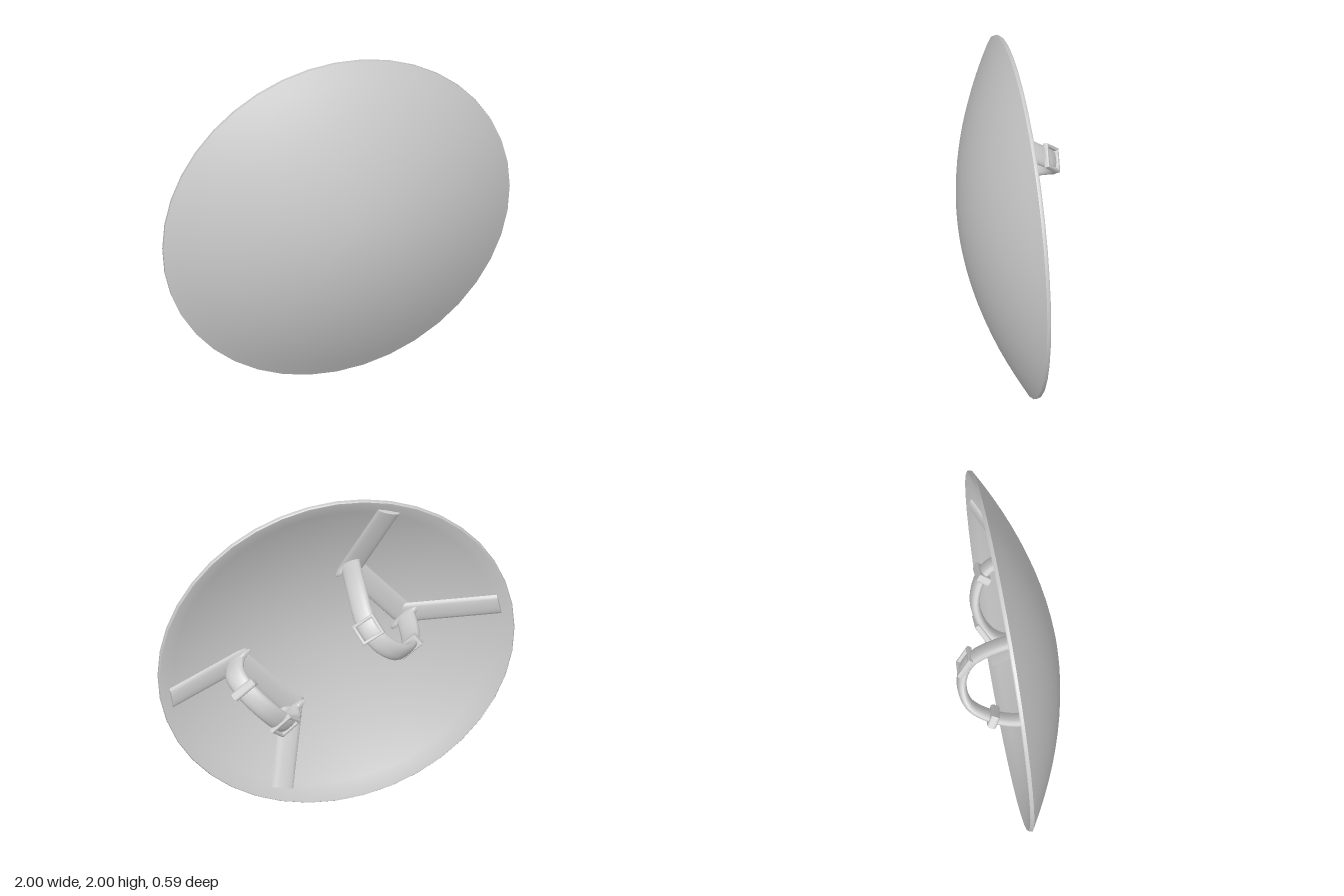
import * as THREE from 'three';
import { toCreasedNormals } from 'three/addons/utils/BufferGeometryUtils.js';

const material = new THREE.MeshStandardMaterial({ color: 0xcccccc });
const V = (x, y, z) => new THREE.Vector3(x, y, z);

function add(parent, name, geometry, crease = 0.8) {
  const mesh = new THREE.Mesh(toCreasedNormals(geometry, crease), material);
  mesh.name = name;
  parent.add(mesh);
  return mesh;
}

// Frame at t on a curve: W across the strap, N through it, T along it
function frameAt(curve, t, across) {
  const P = curve.getPoint(t), T = curve.getTangent(t);
  const W = across.clone().addScaledVector(T, -across.dot(T)).normalize();
  return { P, T, W, N: T.clone().cross(W) };
}

// Leather strip with a flattened oval section, swept along a curve
function ribbon(curve, across, width, thick, steps, sides = 14) {
  const pos = [], index = [];
  const soft = v => Math.sign(v) * Math.abs(v) ** 0.85;
  for (let i = 0; i <= steps; i++) {
    const { P, W, N } = frameAt(curve, i / steps, across);
    for (let j = 0; j < sides; j++) {
      const a = j / sides * Math.PI * 2;
      const p = P.clone().addScaledVector(W, width / 2 * soft(Math.cos(a)))
        .addScaledVector(N, thick / 2 * soft(Math.sin(a)));
      pos.push(p.x, p.y, p.z);
      if (i < steps) {
        const k = i * sides + j, l = i * sides + (j + 1) % sides;
        index.push(k, l, k + sides, l, l + sides, k + sides);
      }
    }
  }
  const last = steps * sides;
  for (let j = 1; j < sides - 1; j++) {
    index.push(0, j + 1, j, last, last + j, last + j + 1);
  }
  const g = new THREE.BufferGeometry();
  g.setAttribute('position', new THREE.Float32BufferAttribute(pos, 3));
  g.setIndex(index);
  return g;
}

// Rectangular loop with rounded edges, centred on the origin
function loopGeometry(w, h, bar, depth, round) {
  const rect = (path, a, b) => path.moveTo(-a, -b).lineTo(a, -b).lineTo(a, b).lineTo(-a, b).closePath();
  const shape = rect(new THREE.Shape(), w / 2, h / 2);
  shape.holes.push(rect(new THREE.Path(), w / 2 - bar, h / 2 - bar));
  return new THREE.ExtrudeGeometry(shape, {
    depth: depth - 2 * round, bevelThickness: round, bevelSize: round * 0.6, bevelOffset: -round * 0.6, bevelSegments: 3
  }).translate(0, 0, -depth / 2 + round);
}

function place(mesh, x, y, z, p) {
  mesh.quaternion.setFromRotationMatrix(new THREE.Matrix4().makeBasis(x, y, z));
  mesh.position.copy(p);
}

// Arm strap with its buckle, keeper and end tabs
function armStrap(name, points, buckleAt, keeperAt, across) {
  const group = new THREE.Group();
  group.name = name;
  const curve = new THREE.CatmullRomCurve3(points);
  const n = points.length - 1;
  add(group, 'strapBand', ribbon(curve, across, 0.12, 0.052, 28));

  const b = frameAt(curve, buckleAt / n, across);
  const out = b.N.z > 0 ? -1 : 1;
  const buckle = add(group, 'buckle', loopGeometry(0.14, 0.125, 0.018, 0.03, 0.008));
  place(buckle, b.W, b.T, b.W.clone().cross(b.T), b.P.clone().addScaledVector(b.N, 0.018 * out));

  const k = frameAt(curve, keeperAt / n, across);
  const keeper = add(group, 'keeperLoop', loopGeometry(0.145, 0.075, 0.016, 0.05, 0.016));
  place(keeper, k.W, k.N, k.T, k.P);

  for (const p of [points[0], points[n]]) {
    const tab = add(group, 'endTab', new THREE.SphereGeometry(1, 14, 10).scale(0.024, 0.11, 0.024), 1);
    tab.quaternion.setFromUnitVectors(V(0, 1, 0), across);
    tab.position.copy(p);
  }
  return group;
}

// Three flat strips on the inside: two arms to the rim and a bar between them
function backing(name, upperEnd, upperCorner, lowerCorner, lowerEnd) {
  const group = new THREE.Group();
  group.name = name;
  const strip = (label, a, b, overlap) => {
    const along = b.clone().sub(a).normalize();
    const start = a.clone().addScaledVector(along, -overlap);
    const across = along.clone().cross(V(0, 0, 1)).normalize();
    add(group, label, ribbon(new THREE.LineCurve3(start, b), across, 0.128, 0.035, 4));
  };
  strip('upperArm', upperCorner, upperEnd, 0.05);
  strip('crossBar', upperCorner, lowerCorner, 0);
  strip('lowerArm', lowerCorner, lowerEnd, 0.05);
  return group;
}

export function createModel() {
  const model = new THREE.Group();
  model.name = 'roundShield';

  // Domed shell: hollow inside, narrow rounded rim, domed outside
  const dome = (t, rise) => rise * (1 - t ** 1.93);
  const profile = [], rings = 12;
  for (let i = 0; i <= rings; i++) {
    const t = i / rings;
    profile.push(new THREE.Vector2(0.985 * t, dome(t, 0.278) - 0.024));
  }
  profile.push(new THREE.Vector2(0.995, -0.026), new THREE.Vector2(1, -0.02));
  for (let i = rings; i >= 0; i--) {
    const t = i / rings;
    profile.push(new THREE.Vector2(t, dome(t, 0.3) - 0.004));
  }
  const shell = add(model, 'shieldShell', new THREE.LatheGeometry(profile, 40).rotateX(Math.PI / 2), 0.7);
  shell.position.y = 1;

  // Strips carrying the two straps
  model.add(backing('forearmBacking',
    V(-0.3, 1.88, 0), V(-0.13, 1.41, 0.18), V(-0.42, 1.055, 0.18), V(-0.92, 1.155, 0)));
  model.add(backing('handBacking',
    V(0.925, 0.83, 0), V(0.5, 0.89, 0.175), V(0.205, 0.54, 0.175), V(0.3, 0.125, 0)));

  // Large forearm strap and shallow hand strap
  const across = V(-0.77, 0.64, 0).normalize();
  model.add(armStrap('forearmStrap', [
    V(-0.12, 1.45, 0.15), V(-0.11, 1.41, -0.02), V(-0.13, 1.28, -0.21), V(-0.21, 1.18, -0.265),
    V(-0.31, 1.1, -0.24), V(-0.385, 1.045, -0.12), V(-0.42, 1.03, 0), V(-0.43, 1.05, 0.15)
  ], 2.1, 5, across));
  model.add(armStrap('handStrap', [
    V(0.53, 0.91, 0.14), V(0.55, 0.885, 0.06), V(0.515, 0.835, -0.02), V(0.41, 0.72, -0.08),
    V(0.3, 0.59, -0.045), V(0.24, 0.53, 0.03), V(0.22, 0.52, 0.14)
  ], 4, 2, across));

  return model;
}
